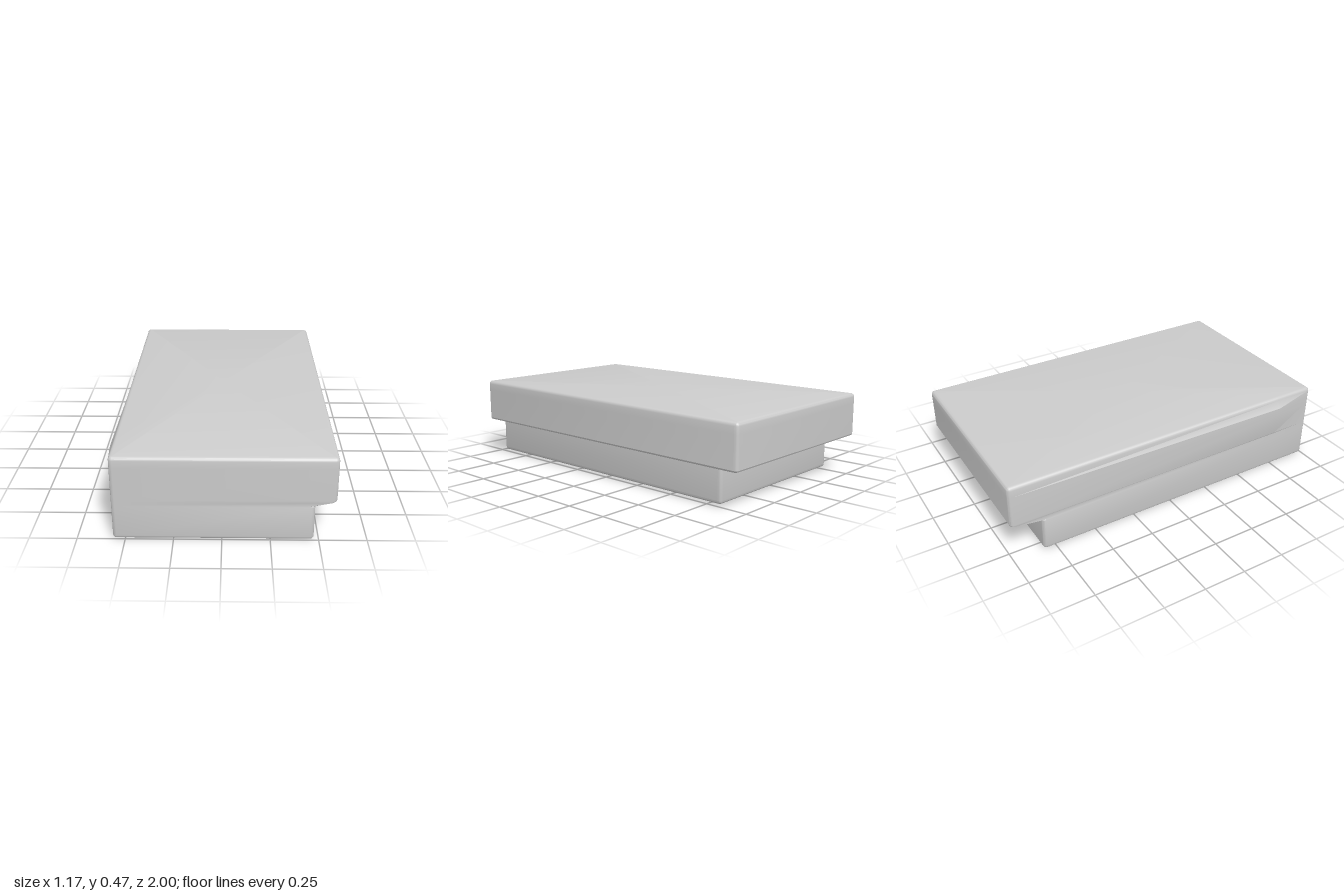
import * as THREE from 'three';
import { toCreasedNormals } from 'three/addons/utils/BufferGeometryUtils.js';

const X0 = -0.565, Z1 = 1, R = 0.02, ARC = 4;

// Horizontal rounded-rectangle section; bulge pushes out one point of the -x side
function section(y, x1, z0, inset = 0, bulge = 0) {
  const r = Math.max(R - inset, 0.004);
  const corners = [[x1, Z1, -1, -1], [X0, Z1, 1, -1], [X0, z0, 1, 1], [x1, z0, -1, 1]];
  const points = [];
  corners.forEach(([x, z, sx, sz], c) => {
    for (let i = 0; i <= ARC; i++) {
      const a = (c + i / ARC) * Math.PI / 2;
      points.push(new THREE.Vector3(
        x + sx * (inset + r) + r * Math.cos(a), y, z + sz * (inset + r) + r * Math.sin(a)));
    }
    if (c === 1) points.push(new THREE.Vector3(X0 + inset - bulge, y, 0.75));
  });
  return points;
}

// Skin neighbouring sections and close both ends
function loft(sections) {
  const pos = [];
  const tri = (...pts) => pts.forEach(p => pos.push(p.x, p.y, p.z));
  const n = sections[0].length;
  for (let s = 0; s < sections.length - 1; s++) {
    const lo = sections[s], hi = sections[s + 1];
    for (let i = 0; i < n; i++) {
      const j = (i + 1) % n;
      tri(lo[i], hi[i], lo[j]);
      tri(hi[i], hi[j], lo[j]);
    }
  }
  const cap = (ring, up) => {
    const c = new THREE.Vector3(0, ring[0].y, 0);
    ring.forEach((p, i) => {
      const q = ring[(i + 1) % n];
      up ? tri(c, q, p) : tri(c, p, q);
    });
  };
  cap(sections[0], false);
  cap(sections[sections.length - 1], true);
  const g = new THREE.BufferGeometry();
  g.setAttribute('position', new THREE.Float32BufferAttribute(pos, 3));
  return toCreasedNormals(g, 0.45);
}

export function createModel() {
  const group = new THREE.Group();
  group.name = 'steppedBlock';
  const sections = [];
  const lower = [0.475, -0.82], upper = [0.585, -1], top = 0.475;

  // Rounded bottom edge of the narrow base
  for (let i = 0; i <= ARC; i++) {
    const a = i / ARC * Math.PI / 2;
    sections.push(section(R * (1 - Math.sin(a)), ...lower, R * (1 - Math.cos(a))));
  }
  sections.reverse();
  sections.sort((a, b) => a[0].y - b[0].y);
  // Fix the base fillet so it is narrowest at the ground
  for (let i = 0; i <= ARC; i++) {
    const a = i / ARC * Math.PI / 2;
    sections[i] = section(R * (1 - Math.cos(a)), ...lower, R * (1 - Math.sin(a)));
  }
  // Base top, groove and sloping underside of the overhang
  sections.push(section(0.195, ...lower));
  sections.push(section(0.2, 0.465, -0.81));
  sections.push(section(0.222, 0.57, -0.985));
  sections.push(section(0.227, 0.581, -0.996));
  sections.push(section(0.235, ...upper, 0, 0.004));
  // Slanted swelling of the -x side
  sections.push(section(0.37, ...upper, 0, 0.025));
  sections.push(section(0.415, ...upper, 0, 0.025));
  // Rounded top edge
  for (let i = 0; i <= ARC; i++) {
    const a = i / ARC * Math.PI / 2;
    sections.push(section(top - R * (1 - Math.sin(a)), ...upper, R * (1 - Math.cos(a))));
  }

  const block = new THREE.Mesh(loft(sections), new THREE.MeshStandardMaterial({ color: 0xcccccc }));
  block.name = 'block';
  group.add(block);
  return group;
}
